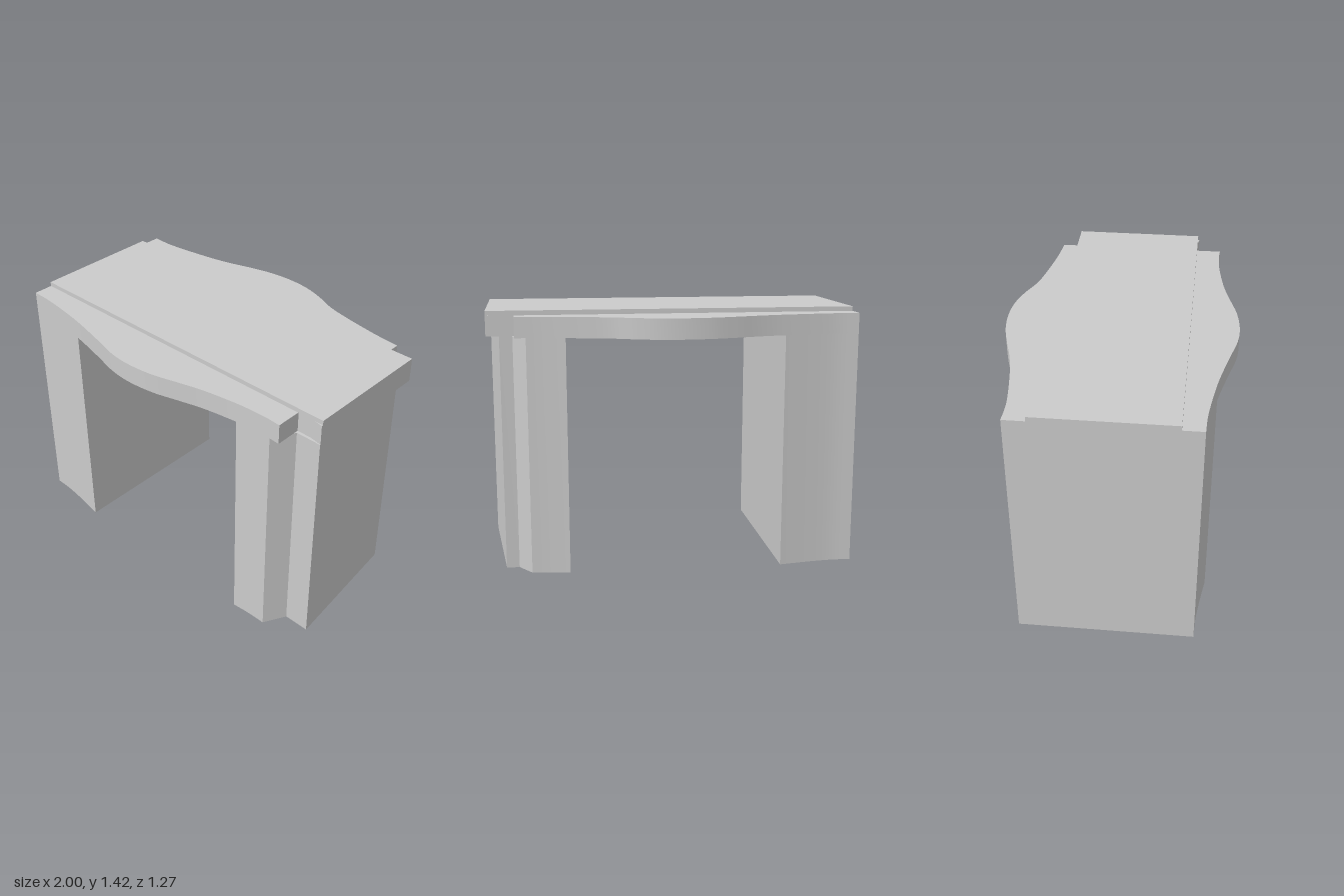
import * as THREE from 'three';
import { toCreasedNormals } from 'three/addons/utils/BufferGeometryUtils.js';

const material = new THREE.MeshStandardMaterial({ color: 0xcccccc });

// Bulging plan edges of the bridge, as [x, z] points
const FRONT = [[-1, 0.48], [-0.85, 0.488], [-0.6, 0.525], [-0.37, 0.577], [-0.2, 0.62], [-0.06, 0.632],
  [0.1, 0.616], [0.25, 0.577], [0.4, 0.54], [0.6, 0.511], [0.75, 0.503], [0.85, 0.508]];
const BACK = [[-1, -0.485], [-0.85, -0.484], [-0.6, -0.517], [-0.45, -0.548], [-0.3, -0.592], [-0.17, -0.623],
  [-0.03, -0.635], [0.1, -0.624], [0.22, -0.59], [0.35, -0.537], [0.5, -0.503], [0.7, -0.47], [0.85, -0.456]];

const sampleCurve = (points) =>
  new THREE.SplineCurve(points.map(([x, z]) => new THREE.Vector2(x, z))).getPoints(72).map((p) => [p.x, p.y]);
const frontEdge = sampleCurve(FRONT);
const backEdge = sampleCurve(BACK);

// Part of an edge between two x values, left to right
function cut(edge, x0, x1) {
  const at = (x) => {
    const i = Math.max(1, edge.findIndex((p) => p[0] >= x - 1e-6));
    const [a, b] = [edge[i - 1], edge[i]];
    return [x, a[1] + (b[1] - a[1]) * (x - a[0]) / (b[0] - a[0])];
  };
  return [at(x0), ...edge.filter((p) => p[0] > x0 + 0.005 && p[0] < x1 - 0.005), at(x1)];
}

// Upright prism from a plan outline
function prism(name, outline, y0, y1) {
  const shape = new THREE.Shape(outline.map(([x, z]) => new THREE.Vector2(x, -z)));
  const geometry = new THREE.ExtrudeGeometry(shape, { depth: y1 - y0, bevelEnabled: false });
  geometry.rotateX(-Math.PI / 2).translate(0, y0, 0);
  const mesh = new THREE.Mesh(toCreasedNormals(geometry, 0.3), material);
  mesh.name = name;
  return mesh;
}

// Outline from the front edge, the +x end and the back edge
const plan = (x0, x1, end) =>
  [...cut(frontEdge, x0, x1), ...end, ...cut(backEdge, x0, x1).reverse()];

export function createModel() {
  const bridge = new THREE.Group();
  bridge.name = 'bridge';

  // Curved deck with a narrower tongue at its +x end
  const tongue = [[0.85, 0.365], [0.93, 0.365], [1, 0.377], [1, -0.367], [0.85, -0.367]];
  bridge.add(prism('deck', plan(-1, 0.85, tongue), 1.29, 1.4));

  // Straight roadway raised slightly above the deck
  const road = new THREE.Mesh(new THREE.BoxGeometry(2, 0.025, 0.735), material);
  road.name = 'roadway';
  road.position.set(0, 1.4125, 0.001);
  bridge.add(road);

  // Plain pier, and notched pier with a skewed outer face
  bridge.add(prism('rightPier', plan(-1, -0.587, []), 0, 1.29));
  const notched = [[0.858, 0.38], [1, 0.38], [0.93, -0.365], [0.86, -0.365]];
  bridge.add(prism('leftPier', plan(0.583, 0.79, notched), 0, 1.29));

  return bridge;
}
